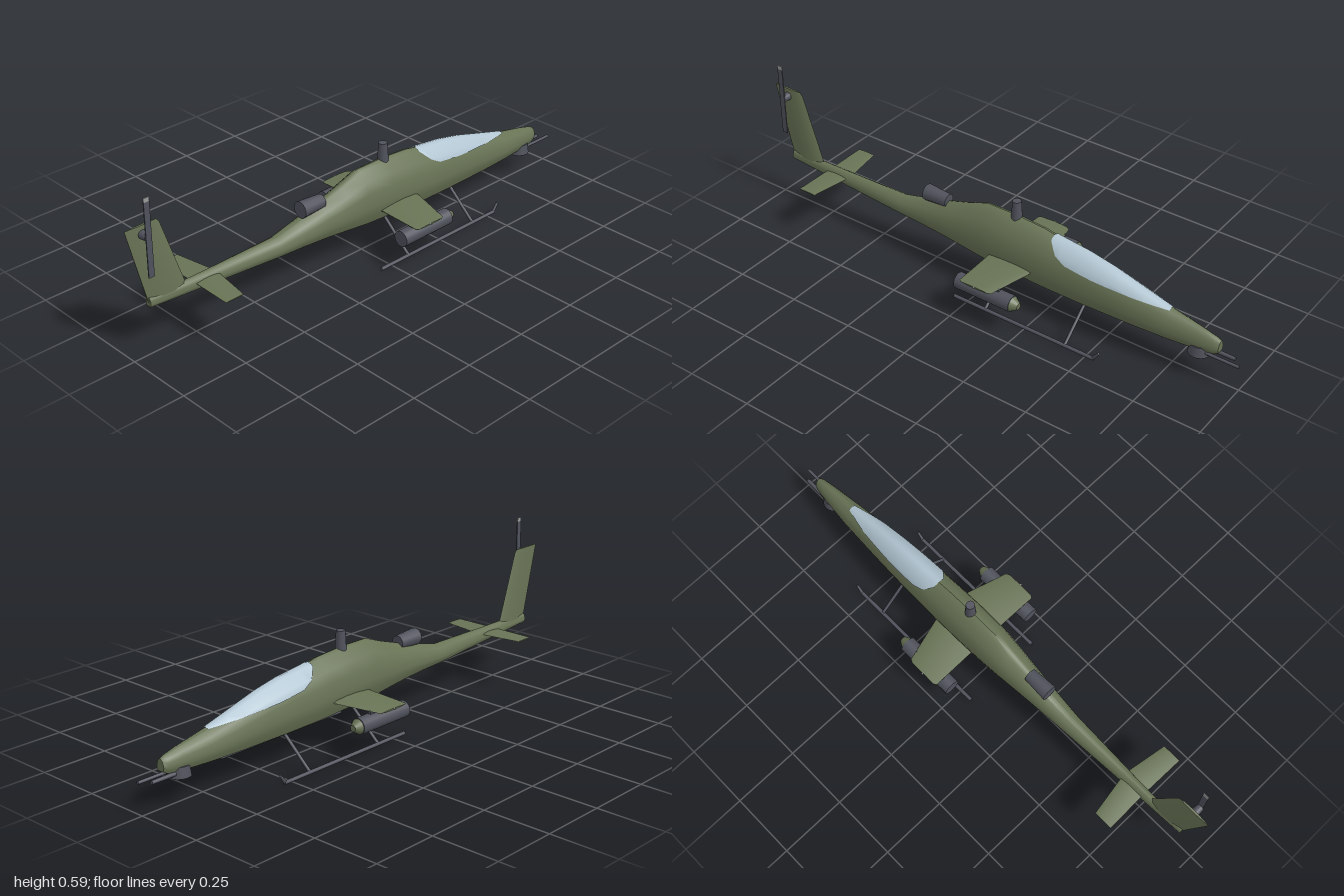
import * as THREE from 'three';
import { toCreasedNormals } from 'three/addons/utils/BufferGeometryUtils.js';

const green = new THREE.MeshStandardMaterial({ name: 'olive green', color: 0x687355 });
const grey = new THREE.MeshStandardMaterial({ name: 'gunmetal', color: 0x50525c });
const glass = new THREE.MeshStandardMaterial({ name: 'pale glass', color: 0xb2c6d2, side: THREE.DoubleSide });
const pale = new THREE.MeshStandardMaterial({ name: 'light grey', color: 0x9a9c9c });

// Skin through rings of [x, y, z]; closed lofts get end caps and face outward
function loft(rings, closed = true, crease = 0.6) {
  const n = rings[0].length, pos = rings.flat(2), idx = [];
  for (let r = 0; r < rings.length - 1; r++) {
    for (let i = 0; i < (closed ? n : n - 1); i++) {
      const a = r * n + i, b = r * n + (i + 1) % n;
      idx.push(a, b, a + n, b, b + n, a + n);
    }
  }
  if (closed) {
    const last = (rings.length - 1) * n;
    for (let i = 1; i < n - 1; i++) idx.push(0, i + 1, i, last, last + i, last + i + 1);
    const p = (i) => new THREE.Vector3().fromArray(pos, i * 3);
    let volume = 0;
    for (let i = 0; i < idx.length; i += 3) volume += p(idx[i]).dot(p(idx[i + 1]).cross(p(idx[i + 2])));
    if (volume < 0) idx.reverse();
  }
  const g = new THREE.BufferGeometry();
  g.setAttribute('position', new THREE.Float32BufferAttribute(pos, 3));
  g.setIndex(idx);
  g.computeVertexNormals();
  return toCreasedNormals(g, crease);
}

// Linear interpolation through a table whose first column is the key
function sample(table, key, col) {
  let i = 0;
  while (i < table.length - 2 && key > table[i + 1][0]) i++;
  const a = table[i], b = table[i + 1];
  const k = THREE.MathUtils.clamp((key - a[0]) / (b[0] - a[0]), 0, 1);
  return a[col] + (b[col] - a[col]) * k;
}

// Fuselage stations: x, bottom, top, half width
const HULL = [
  [-0.93, 0.178, 0.213, 0.014], [-0.7, 0.164, 0.213, 0.022], [-0.4, 0.148, 0.216, 0.037],
  [-0.3, 0.147, 0.240, 0.045], [-0.2, 0.144, 0.268, 0.054], [-0.1, 0.138, 0.300, 0.064],
  [-0.02, 0.131, 0.330, 0.070], [0.1, 0.125, 0.331, 0.073], [0.22, 0.118, 0.323, 0.072],
  [0.27, 0.116, 0.313, 0.071], [0.4, 0.113, 0.298, 0.067], [0.5, 0.112, 0.278, 0.062],
  [0.6, 0.110, 0.250, 0.055], [0.73, 0.110, 0.214, 0.045], [0.85, 0.112, 0.190, 0.031],
  [0.905, 0.117, 0.176, 0.023], [0.92, 0.125, 0.168, 0.017],
];
// Half cross-section: height fraction, width fraction
const SECTION = [[0, 0.68], [0.2, 0.92], [0.36, 1], [0.6, 0.86], [0.8, 0.68], [0.97, 0.2], [1, 0]];

function hullPoint(x, t, side, out = 0) {
  const low = sample(HULL, x, 1), high = sample(HULL, x, 2);
  const w = sample(SECTION, t, 1) * sample(HULL, x, 3);
  return [x, low + (high - low) * t + out, side * (w + (w > 0 ? out : 0))];
}

function hullGeometry() {
  const ts = SECTION.map((s) => s[0]);
  return loft(HULL.map(([x]) => [
    ...ts.map((t) => hullPoint(x, t, 1)),
    ...ts.slice(0, -1).reverse().map((t) => hullPoint(x, t, -1)),
  ]), true, 0.75);
}

// Glass skin lying just above the fuselage, down to a curved sill line
function canopyGeometry() {
  const sill = [[0.265, 0.302], [0.3, 0.268], [0.34, 0.246], [0.45, 0.231], [0.6, 0.22], [0.7, 0.212], [0.73, 0.210]];
  const xs = [0.265, 0.285, 0.3, 0.32, 0.34, 0.4, 0.45, 0.5, 0.55, 0.6, 0.65, 0.7, 0.73];
  return loft(xs.map((x) => {
    const low = sample(HULL, x, 1), high = sample(HULL, x, 2);
    const t0 = Math.min(0.96, (sample(sill, x, 1) - low) / (high - low));
    const ts = [t0, Math.max(t0, 0.8), 0.97, 1];
    return [...ts.map((t) => hullPoint(x, t, 1, 0.003)),
      ...ts.slice(0, -1).reverse().map((t) => hullPoint(x, t, -1, 0.003))];
  }), false, 0.75);
}

// Aerofoil ring between trailing and leading edge; place(x, offset) sets the plane
function foil(back, front, half, place) {
  const c = front - back;
  return [[0, 0.15], [0.35, 0.9], [0.65, 1], [0.92, 0.6], [1, 0], [0.92, -0.6], [0.65, -1], [0.35, -0.9], [0, -0.15]]
    .map(([k, h]) => place(back + c * k, h * half));
}
const flat = (z, y, back, front, half) => foil(back, front, half, (x, o) => [x, y + o, z]);
const upright = (y, back, front, half) => foil(back, front, half, (x, o) => [x, y, o]);

export function createModel() {
  const model = new THREE.Group();
  model.name = 'helicopter';
  const add = (name, geometry, material) => {
    const mesh = new THREE.Mesh(geometry, material);
    mesh.name = name;
    model.add(mesh);
    return mesh;
  };
  // Round bar from point a to point b
  const rod = (name, a, b, r0, r1, material, sides = 16) => {
    const from = new THREE.Vector3(...a), to = new THREE.Vector3(...b);
    const dir = to.clone().sub(from);
    const mesh = add(name, new THREE.CylinderGeometry(r1, r0, dir.length(), sides), material);
    mesh.position.copy(from).add(to).multiplyScalar(0.5);
    mesh.quaternion.setFromUnitVectors(new THREE.Vector3(0, 1, 0), dir.normalize());
    return mesh;
  };
  const box = (name, size, at, material) =>
    add(name, new THREE.BoxGeometry(...size), material).position.set(...at);

  // Body and glazing
  add('fuselage', hullGeometry(), green);
  add('canopy', canopyGeometry(), glass);

  // Tail fin and tail rotor
  add('tailFin', loft([
    upright(0.19, -0.93, -0.775, 0.014), upright(0.215, -0.936, -0.785, 0.013),
    upright(0.465, -0.997, -0.868, 0.005), upright(0.477, -1, -0.88, 0.004),
  ]), green);
  rod('tailRotorHub', [-0.937, 0.446, 0], [-0.937, 0.446, 0.034], 0.016, 0.013, grey);
  box('tailRotorBlade', [0.022, 0.267, 0.004], [-0.936, 0.4385, 0.036], grey);
  box('tailRotorTip', [0.022, 0.015, 0.004], [-0.936, 0.5795, 0.036], pale);

  // Rotor mast and engine exhaust
  rod('rotorMast', [0.105, 0.31, 0], [0.105, 0.39, 0], 0.021, 0.016, grey);
  rod('engineExhaust', [-0.287, 0.273, 0], [-0.19, 0.272, 0], 0.031, 0.025, grey, 12);

  // Chin turret with one long and one short barrel
  rod('chinTurret', [0.845, 0.09, 0], [0.845, 0.128, 0], 0.04, 0.034, grey, 20);
  rod('longBarrel', [0.85, 0.107, 0.015], [1, 0.107, 0.015], 0.006, 0.006, grey, 10);
  rod('shortBarrel', [0.85, 0.107, -0.015], [0.97, 0.107, -0.015], 0.008, 0.007, grey, 10);

  for (const s of [1, -1]) {
    // Stub wing, tip light and tailplane
    add('stubWing', loft([
      flat(s * 0.04, 0.171, 0.035, 0.222, 0.011), flat(s * 0.235, 0.164, 0.035, 0.168, 0.005),
      flat(s * 0.242, 0.164, 0.045, 0.155, 0.003),
    ]), green);
    rod('wingTipLight', [0.1, 0.164, s * 0.238], [0.1, 0.164, s * 0.247], 0.004, 0.003, pale, 8);
    add('tailplane', loft([
      flat(s * 0.005, 0.192, -0.752, -0.655, 0.005), flat(s * 0.17, 0.191, -0.755, -0.682, 0.002),
    ]), green);

    // Weapon pod under the wing
    const z = s * 0.196;
    box('podPylon', [0.11, 0.03, 0.012], [0.12, 0.152, z], grey);
    rod('weaponPod', [0, 0.125, z], [0.23, 0.125, z], 0.03, 0.03, grey, 20);
    rod('podNose', [0.23, 0.125, z], [0.255, 0.125, z], 0.027, 0.012, green, 20);

    // Landing skid with upturned toe and two struts
    const skid = s * 0.154;
    rod('skid', [-0.052, 0.007, skid], [0.535, 0.007, skid], 0.007, 0.007, grey, 10);
    rod('skidToe', [0.53, 0.007, skid], [0.553, 0.037, skid], 0.006, 0.005, grey, 10);
    for (const x of [0.083, 0.417]) {
      rod('skidStrut', [x, 0.13, s * 0.018], [x, 0.008, skid], 0.006, 0.006, grey, 10);
    }
  }
  return model;
}
